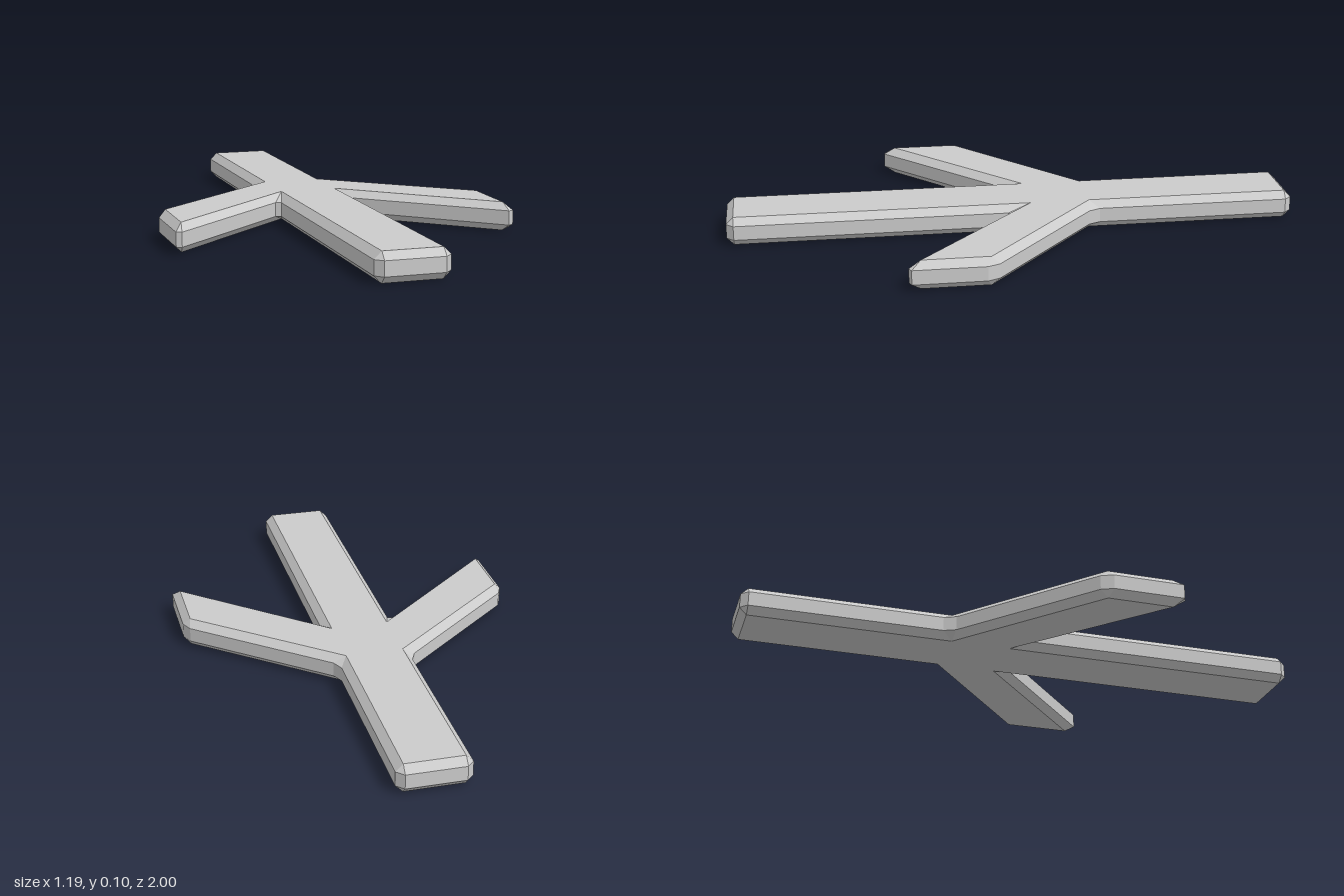
import * as THREE from 'three';

const BEVEL = 0.025;
const HEIGHT = 0.1;

// Unbevelled plan outline (x, z): +x half from front to back, then mirrored
function planOutline() {
  const half = [
    [0.125, 1], [0.125, 0], [0.595, 0.428],
    [0.595, 0.13], [0.125, -0.276], [0.125, -1],
  ].map(([x, z]) => new THREE.Vector2(x, z));
  const mirrored = half.map((p) => new THREE.Vector2(-p.x, p.y)).reverse();
  return [...half, ...mirrored];
}

// Slab with every edge, including the upright ones, cut by a flat chamfer
function chamferedSlab(outline, height, d) {
  const n = outline.length;
  const edgeDir = (a, b) => b.clone().sub(a).normalize();
  const normal = (e) => new THREE.Vector2(-e.y, e.x);

  // Each corner: inset cap point and the two points on its side walls
  const corners = outline.map((p, i) => {
    const e1 = edgeDir(outline[(i + n - 1) % n], p);
    const e2 = edgeDir(p, outline[(i + 1) % n]);
    const n1 = normal(e1), n2 = normal(e2);
    return {
      cap: p.clone().addScaledVector(n1.clone().add(n2), -d / (1 + n1.dot(n2))),
      before: p.clone().addScaledVector(e1, -d),
      after: p.clone().addScaledVector(e2, d),
    };
  });

  const positions = [];
  const tri = (...pts) => pts.forEach(([p, y]) => positions.push(p.x, y, p.y));
  const quad = (a, b, c, e) => { tri(a, b, c); tri(a, c, e); };
  const low = d, high = height - d;

  corners.forEach((c, i) => {
    const next = corners[(i + 1) % n];
    // side wall with its upper and lower chamfers
    quad([c.after, low], [next.before, low], [next.before, high], [c.after, high]);
    quad([c.after, high], [next.before, high], [next.cap, height], [c.cap, height]);
    quad([c.cap, 0], [next.cap, 0], [next.before, low], [c.after, low]);
    // upright corner chamfer with its end triangles
    quad([c.before, low], [c.after, low], [c.after, high], [c.before, high]);
    tri([c.before, high], [c.after, high], [c.cap, height]);
    tri([c.cap, 0], [c.after, low], [c.before, low]);
  });

  // flat top and bottom
  const caps = corners.map((c) => c.cap);
  const flat = caps.map((p) => new THREE.Vector2(p.x, -p.y));
  for (const [a, b, c] of THREE.ShapeUtils.triangulateShape(flat, [])) {
    tri([caps[a], height], [caps[b], height], [caps[c], height]);
    tri([caps[a], 0], [caps[c], 0], [caps[b], 0]);
  }

  const geometry = new THREE.BufferGeometry();
  geometry.setAttribute('position', new THREE.Float32BufferAttribute(positions, 3));
  geometry.computeVertexNormals();
  return geometry;
}

export function createModel() {
  const group = new THREE.Group();
  group.name = 'forkedBar';
  const material = new THREE.MeshStandardMaterial({ color: 0xcccccc, flatShading: true });
  const slab = new THREE.Mesh(chamferedSlab(planOutline(), HEIGHT, BEVEL), material);
  slab.name = 'stemWithSweptArms';
  group.add(slab);
  return group;
}
